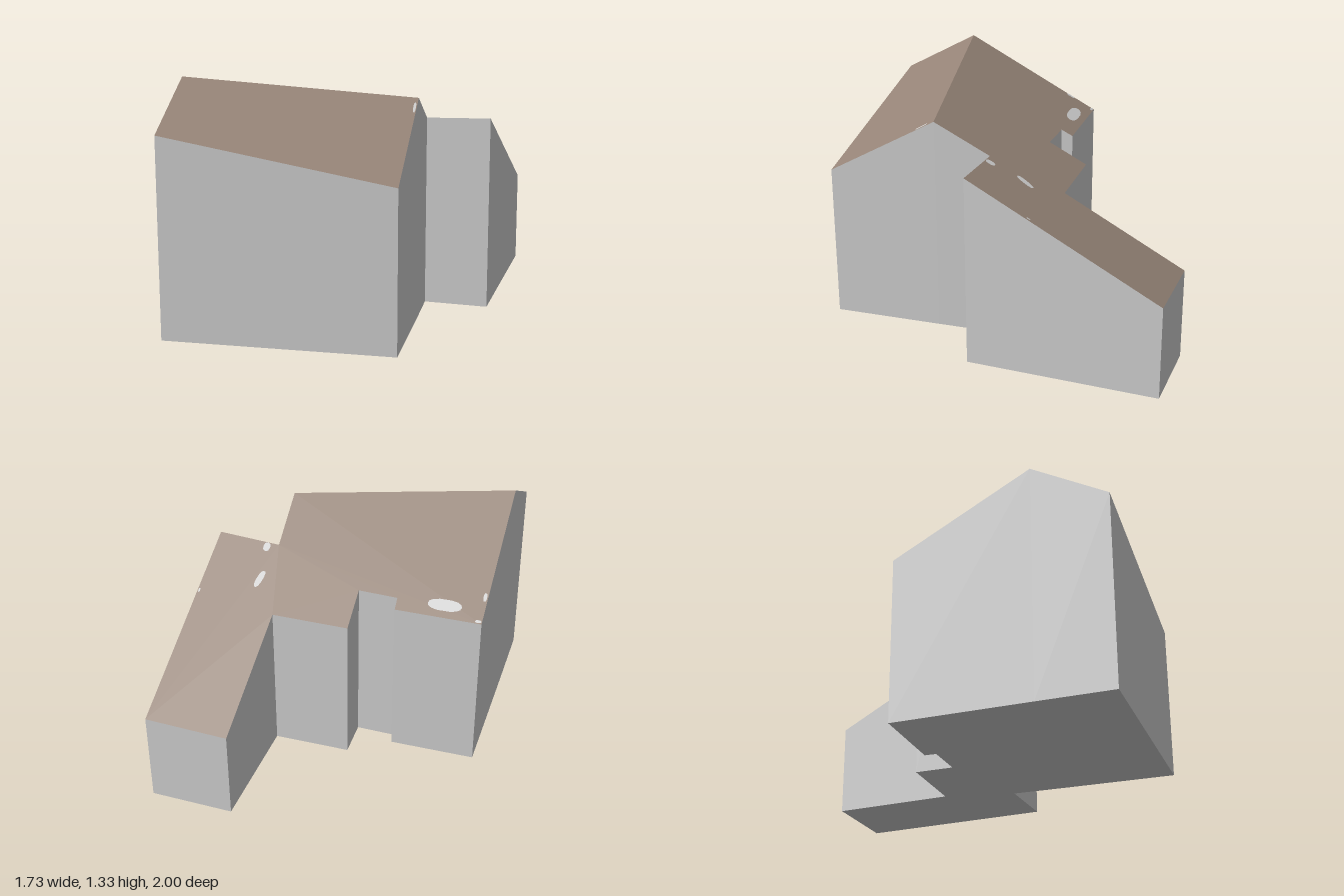
import * as THREE from 'three';

const wallMat = new THREE.MeshStandardMaterial({ name: 'wall grey', color: 0xd0d0d0 });
const roofMat = new THREE.MeshStandardMaterial({ name: 'roof brown', color: 0x968477 });

// Roof planes: height as a function of x and z
const backSlope = (x, z) => 1.04 - 0.018 * x + 0.513 * z;
const frontSlope = (x, z) => 1.525 - 0.158 * x - 0.598 * z;

// Two ridge ends and the remaining footprint corners, as [x, z]
const ridgeLeft = [-0.845, 0.545], ridgeRight = [0.405, 0.385];
const frontCorners = [[-0.865, 0.97], [0.39, 1.0]];
const frontHeights = [1.095, 0.88];
const backCorners = [
  [0.41, 0.07], [0.765, 0.105], [0.86, -0.965], [0.395, -1.0], [0.335, -0.325], [-0.095, -0.345],
  [-0.105, -0.13], [-0.325, -0.145], [-0.325, -0.21], [-0.805, -0.23],
];
const footprint = [...frontCorners, ridgeRight, ...backCorners, ridgeLeft];

function heightAt(x, z) {
  const i = frontCorners.findIndex(([fx, fz]) => Math.hypot(fx - x, fz - z) < 1e-4);
  return i >= 0 ? frontHeights[i] : backSlope(x, z);
}

// Flat polygon facing up, each corner lifted by a height rule
function liftedPolygon(points, height) {
  const shape = new THREE.Shape(points.map(([x, z]) => new THREE.Vector2(x, -z)));
  const geo = new THREE.ShapeGeometry(shape).rotateX(-Math.PI / 2);
  const p = geo.attributes.position;
  for (let i = 0; i < p.count; i++) p.setY(i, height(p.getX(i), p.getZ(i)));
  const flat = geo.toNonIndexed();
  flat.computeVertexNormals();
  return flat;
}

// Vertical walls around the footprint
function wallGeometry() {
  const v = [];
  footprint.forEach(([x, z], i) => {
    const [u, w] = footprint[(i + 1) % footprint.length];
    const h = heightAt(x, z), k = heightAt(u, w);
    v.push(x, 0, z, u, 0, w, u, k, w, x, 0, z, u, k, w, x, h, z);
  });
  const geo = new THREE.BufferGeometry();
  geo.setAttribute('position', new THREE.Float32BufferAttribute(v, 3));
  geo.computeVertexNormals();
  return geo;
}

// Rounded pale patch: centre x, z, half sizes and turn
function patchOutline(cx, cz, rx, rz, turn) {
  return Array.from({ length: 14 }, (_, i) => {
    const a = (i / 14) * Math.PI * 2;
    const px = rx * Math.sign(Math.cos(a)) * Math.abs(Math.cos(a)) ** 0.7;
    const pz = rz * Math.sin(a);
    return [cx + px * Math.cos(turn) - pz * Math.sin(turn), cz + px * Math.sin(turn) + pz * Math.cos(turn)];
  });
}

export function createModel() {
  const group = new THREE.Group();
  const add = (name, geo, mat) => {
    const mesh = new THREE.Mesh(geo, mat);
    mesh.name = name;
    group.add(mesh);
  };

  add('walls', wallGeometry(), wallMat);

  // Underside
  const floorShape = new THREE.Shape(footprint.map(([x, z]) => new THREE.Vector2(x, z)));
  add('floor', new THREE.ShapeGeometry(floorShape).rotateX(Math.PI / 2), wallMat);

  // Roof slopes meeting at the ridge
  add('frontRoof', liftedPolygon([...frontCorners, ridgeRight, ridgeLeft], heightAt), roofMat);
  add('backRoof', liftedPolygon([ridgeRight, ...backCorners, ridgeLeft], heightAt), roofMat);

  // Pale worn patches lying on the roof
  const patches = [
    [-0.59, -0.155, 0.095, 0.032, 0.03, backSlope], [0.463, -0.14, 0.018, 0.05, 0.3, backSlope],
    [0.475, 0.047, 0.02, 0.025, 0, backSlope], [-0.785, -0.22, 0.017, 0.008, 0, backSlope],
    [-0.797, -0.085, 0.01, 0.024, 0, backSlope], [0.785, -0.245, 0.005, 0.012, 0, backSlope],
    [0.393, 0.46, 0.007, 0.035, 0, frontSlope], [0.391, 0.62, 0.007, 0.035, 0, frontSlope],
  ];
  patches.forEach(([x, z, rx, rz, turn, slope], i) => {
    const geo = liftedPolygon(patchOutline(x, z, rx, rz, turn), (a, b) => slope(a, b) + 0.004);
    add('roofPatch' + (i + 1), geo, wallMat);
  });
  return group;
}
